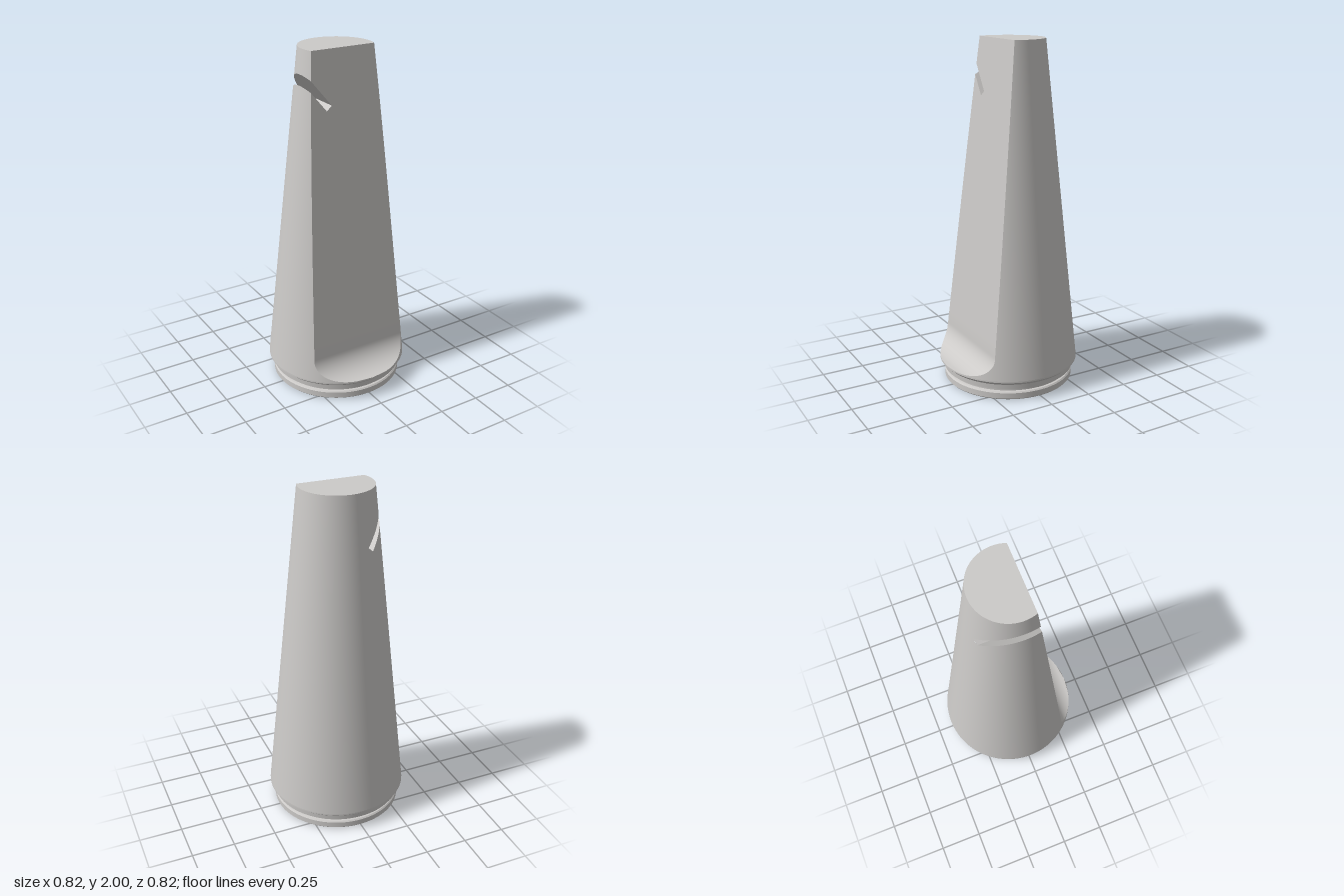
import * as THREE from 'three';
import { toCreasedNormals } from 'three/addons/utils/BufferGeometryUtils.js';

const BOTTOM = 0.125, TOP = 2, FILLET = 0.14;
const TAPER = 0.1064;            // cone radius lost per unit of height
const FLAT_SLOPE = 0.105;        // lean of the flat front

const radius = (y) => 0.21 + (TOP - y) * TAPER;

// z of the flat front, flaring out to the rim through a fillet at the bottom
function frontZ(y) {
  const knee = BOTTOM + FILLET;
  if (y >= knee) return 0.072 + (TOP - y) * FLAT_SLOPE;
  const start = 0.072 + (TOP - knee) * FLAT_SLOPE;
  const v = Math.min(1, (knee - y) / FILLET);
  return start + (radius(BOTTOM) - start) * (1 - Math.sqrt(1 - v * v));
}

// Slot: a band in the xy plane running up and out from its inner end
const END = new THREE.Vector3(-0.09, 1.7, 0);
const ALONG = new THREE.Vector3(0.633, -0.774, 0).normalize();
const ACROSS = new THREE.Vector3(0.774, 0.633, 0).normalize();
const SLOT_WIDTH = 0.042;
const slotSides = [
  (p) => -p.clone().sub(END).dot(ALONG),
  (p) => -p.clone().sub(END).dot(ACROSS),
  (p) => p.clone().sub(END).dot(ACROSS) + SLOT_WIDTH,
];

// Part of a polygon where sign * side(p) >= 0
function clip(poly, side, sign) {
  const out = [];
  poly.forEach((a, i) => {
    const b = poly[(i + 1) % poly.length];
    const da = sign * side(a), db = sign * side(b);
    if (da >= 0) out.push(a);
    if ((da > 0 && db < 0) || (da < 0 && db > 0)) out.push(a.clone().lerp(b, da / (da - db)));
  });
  return out;
}

// Removes the slot band from a polygon, returning the remaining pieces
function cutSlot(poly) {
  const pieces = [];
  let rest = poly;
  for (const side of slotSides) {
    const outside = clip(rest, side, -1);
    if (outside.length > 2) pieces.push(outside);
    rest = clip(rest, side, 1);
    if (rest.length < 3) return pieces.length ? pieces : [poly];
  }
  return pieces;
}

// Mesh from convex polygons; normalAt gives the outward normal at a point
function surface(name, polys, normalAt, material) {
  const pos = [], nor = [];
  for (const poly of polys) {
    for (let i = 1; i < poly.length - 1; i++) {
      let tri = [poly[0], poly[i], poly[i + 1]];
      const face = tri[1].clone().sub(tri[0]).cross(tri[2].clone().sub(tri[0]));
      if (face.length() < 1e-12) continue;
      const middle = tri[0].clone().add(tri[1]).add(tri[2]).divideScalar(3);
      if (face.dot(normalAt(middle)) < 0) tri = [tri[0], tri[2], tri[1]];
      for (const p of tri) {
        pos.push(p.x, p.y, p.z);
        nor.push(...normalAt(p).toArray());
      }
    }
  }
  const geo = new THREE.BufferGeometry();
  geo.setAttribute('position', new THREE.Float32BufferAttribute(pos, 3));
  geo.setAttribute('normal', new THREE.Float32BufferAttribute(nor, 3));
  const mesh = new THREE.Mesh(geo, material);
  mesh.name = name;
  return mesh;
}

// Quads between neighbouring rows of points
function quads(rows) {
  const polys = [];
  for (let j = 0; j < rows.length - 1; j++) {
    for (let i = 0; i < rows[j].length - 1; i++) {
      polys.push([rows[j][i], rows[j][i + 1], rows[j + 1][i + 1], rows[j + 1][i]]);
    }
  }
  return polys;
}

// Points round the curved back, from the left front corner to the right one
function arcRow(y, n = 96) {
  const r = radius(y);
  const start = Math.acos(Math.min(1, frontZ(y) / r));
  return Array.from({ length: n + 1 }, (_, i) => {
    const a = start + (2 * Math.PI - 2 * start) * (i / n);
    return new THREE.Vector3(r * Math.sin(a), y, r * Math.cos(a));
  });
}

// One wall of the slot, following the band outwards until it leaves the cone
function slotWall(name, origin, normal, material) {
  const reach = (radius(origin.y) + origin.x) / (ALONG.x - ALONG.y * TAPER);
  const rows = [];
  for (let i = 0; i <= 48; i++) {
    const p = origin.clone().addScaledVector(ALONG, -reach * (1 - (1 - i / 48) ** 2));
    rows.push(depthPair(p));
  }
  return surface(name, quads(rows), () => normal, material);
}

// Front and back points of the body at a given x and y
function depthPair(p) {
  const back = Math.sqrt(Math.max(0, radius(p.y) ** 2 - p.x ** 2));
  return [Math.min(frontZ(p.y), back), -back].map((z) => new THREE.Vector3(p.x, p.y, z));
}

export function createModel() {
  const model = new THREE.Group();
  const grey = new THREE.MeshStandardMaterial({ color: 0xcccac8 });
  grey.name = 'light grey';

  // Heights, closer together through the fillet
  const heights = [];
  for (let i = 0; i < 20; i++) heights.push(BOTTOM + FILLET * (1 - Math.cos((i / 20) * Math.PI / 2)));
  for (let i = 0; i <= 24; i++) heights.push(BOTTOM + FILLET + (TOP - BOTTOM - FILLET) * (i / 24));

  // Tapered round body
  const arcs = heights.map((y) => arcRow(y));
  const coneNormal = (p) => {
    const r = Math.hypot(p.x, p.z);
    return new THREE.Vector3(p.x / r, TAPER, p.z / r).normalize();
  };
  model.add(surface('taperedBody', quads(arcs).flatMap(cutSlot), coneNormal, grey));

  // Flat front with the flared foot
  const chords = arcs.map((row) => [row[row.length - 1], row[0]]);
  const frontNormal = (p) => {
    const a = Math.max(BOTTOM, p.y - 0.002), b = Math.min(TOP, p.y + 0.002);
    return new THREE.Vector3(0, (frontZ(a) - frontZ(b)) / (b - a), 1).normalize();
  };
  model.add(surface('flatFront', quads(chords).flatMap(cutSlot), frontNormal, grey));

  // Top face
  model.add(surface('topFace', [arcs[arcs.length - 1]], () => new THREE.Vector3(0, 1, 0), grey));

  // Slot walls
  const lower = END.clone().addScaledVector(ACROSS, -SLOT_WIDTH);
  model.add(slotWall('slotUpperWall', END, ACROSS.clone().negate(), grey));
  model.add(slotWall('slotLowerWall', lower, ACROSS, grey));
  const endRows = [depthPair(END), depthPair(lower)];
  model.add(surface('slotEnd', quads(endRows), () => ALONG.clone().negate(), grey));

  // Chamfered rim, groove and round base
  const profile = [
    [0, 0], [0.374, 0], [0.381, 0.007], [0.381, 0.04], [0.374, 0.047], [0.362, 0.049],
    [0.362, 0.064], [0.384, 0.068], [0.386, 0.096], [0.392, 0.102], [radius(BOTTOM), 0.117],
    [radius(BOTTOM), BOTTOM],
  ].map(([x, y]) => new THREE.Vector2(x, y));
  const base = new THREE.Mesh(toCreasedNormals(new THREE.LatheGeometry(profile, 96), 0.6), grey);
  base.name = 'base';
  model.add(base);

  return model;
}
